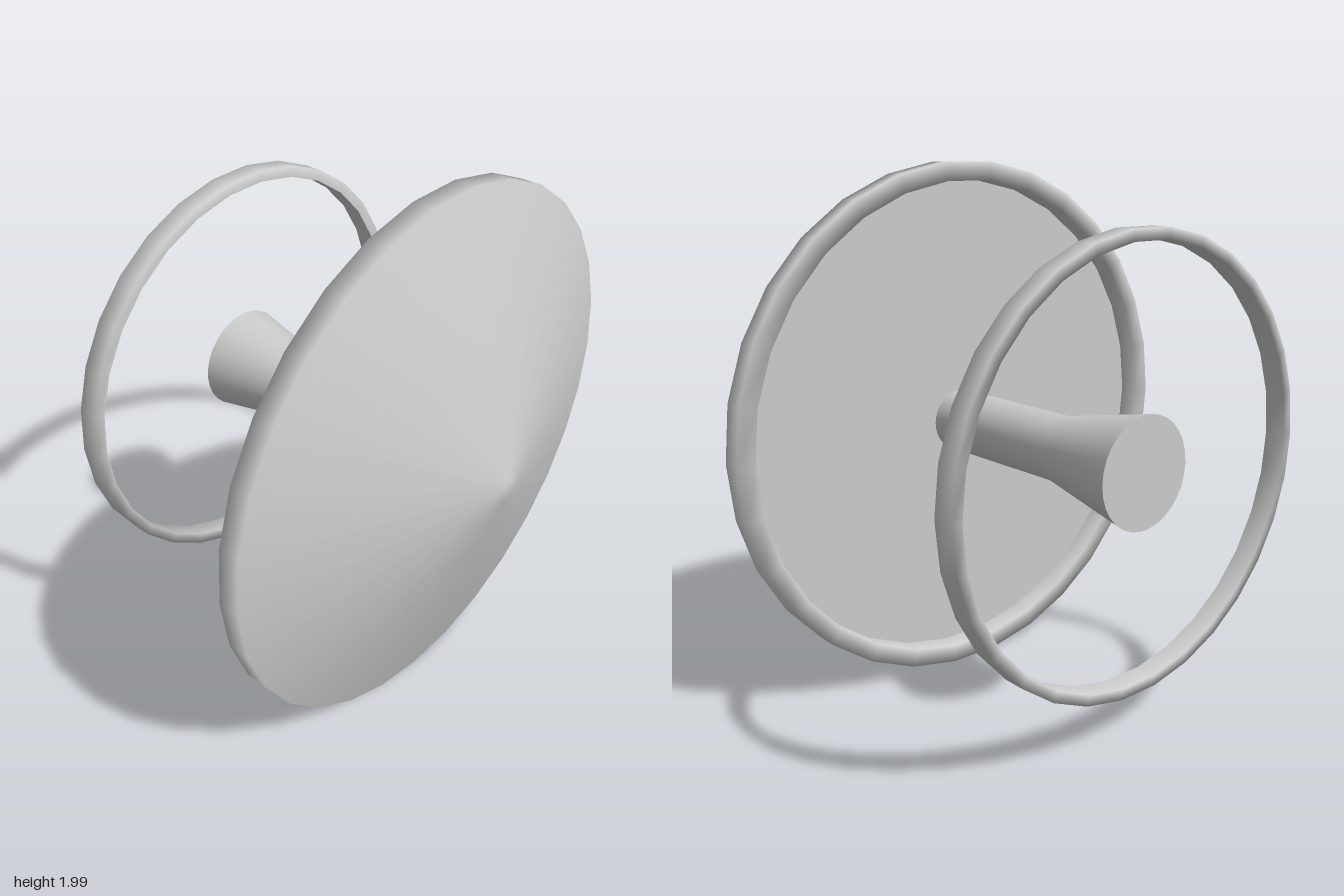
import * as THREE from 'three';

const SIDES = 30;
const CENTRE_Y = 0.995;

export function createModel() {
  const group = new THREE.Group();
  const material = new THREE.MeshStandardMaterial({ color: 0xcccccc });

  const add = (name, geometry) => {
    const mesh = new THREE.Mesh(geometry, material);
    mesh.name = name;
    mesh.position.y = CENTRE_Y;
    group.add(mesh);
  };

  // Turn a [radius, z] profile around the z axis
  const turned = (name, profile) => {
    const points = profile.map(([r, z]) => new THREE.Vector2(r, z));
    add(name, new THREE.LatheGeometry(points, SIDES, Math.PI / 2).rotateX(Math.PI / 2));
  };

  // Flat disc facing the back
  const backDisc = (name, radius, z) =>
    add(name, new THREE.CircleGeometry(radius, SIDES).rotateY(Math.PI).translate(0, 0, z));

  // Shallow cone with a raised rim around its recessed back
  turned('domedCap', [[0.93, 0.36], [0.93, 0.28], [1, 0.28], [1, 0.36], [0.04, 0.64], [0, 0.64]]);
  backDisc('capBack', 0.93, 0.36);

  // Stem that flares towards the back
  turned('stem', [[0.2, -0.64], [0.12, -0.24], [0.12, 0.36]]);
  backDisc('stemEnd', 0.2, -0.64);

  // Thin free ring around the flared end
  turned('rearRing', [[0.76, -0.56], [0.76, -0.64], [0.8, -0.64], [0.8, -0.56], [0.76, -0.56]]);

  return group;
}
